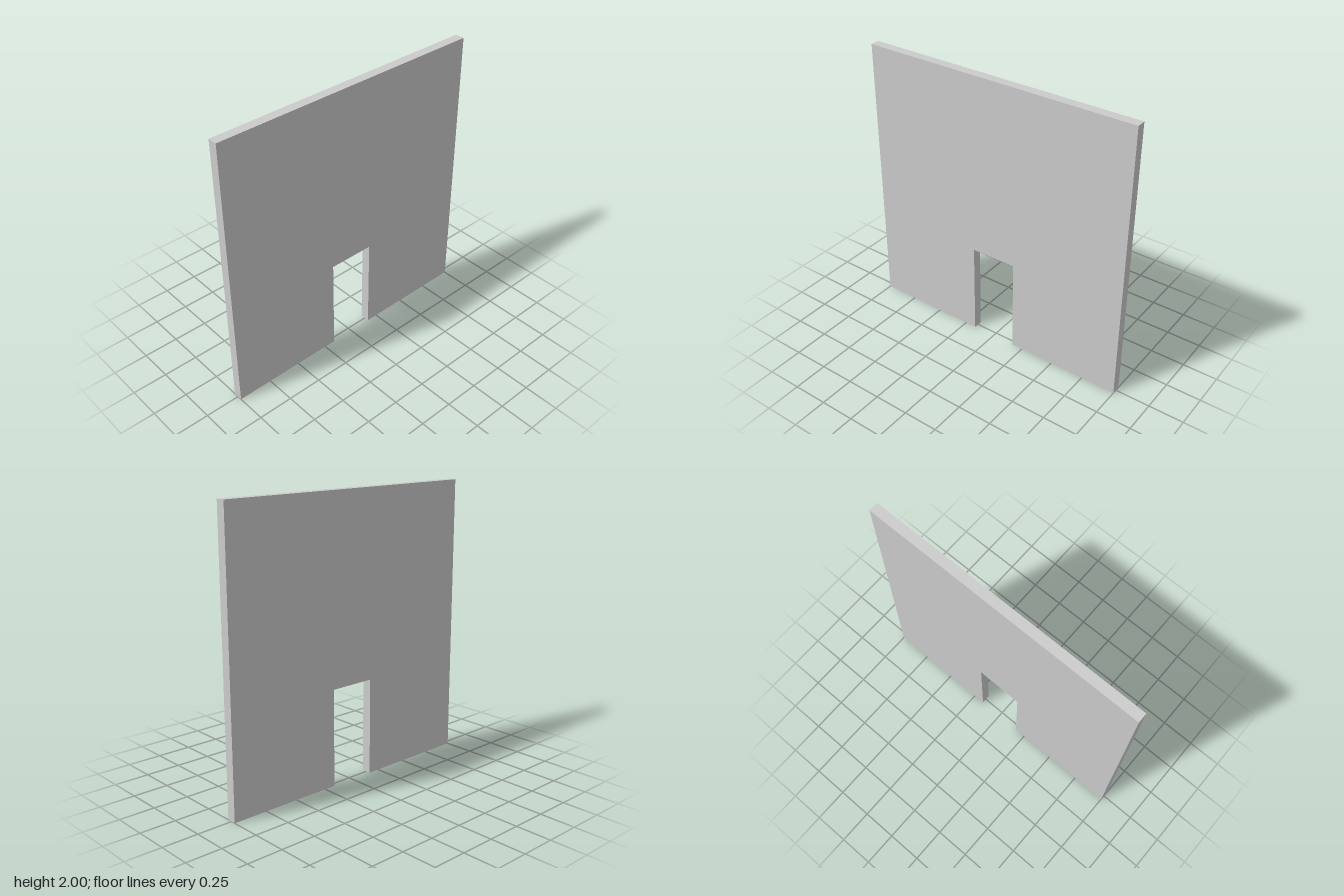
import * as THREE from 'three';

export function createModel() {
  const group = new THREE.Group();
  group.name = 'wallWithDoorway';

  const half = 1, height = 2, thickness = 0.067;
  const doorHalf = 0.167, doorHeight = 0.687;

  // Wall outline, counter-clockwise, with the doorway notched into the bottom edge
  const outline = new THREE.Shape([
    [-half, 0], [-doorHalf, 0], [-doorHalf, doorHeight], [doorHalf, doorHeight],
    [doorHalf, 0], [half, 0], [half, height], [-half, height],
  ].map(([x, y]) => new THREE.Vector2(x, y)));

  const geometry = new THREE.ExtrudeGeometry(outline, { depth: thickness, bevelEnabled: false });
  geometry.translate(0, 0, -thickness / 2);

  const wall = new THREE.Mesh(geometry, new THREE.MeshStandardMaterial({ color: 0xcccccc }));
  wall.name = 'wall';
  group.add(wall);
  return group;
}
